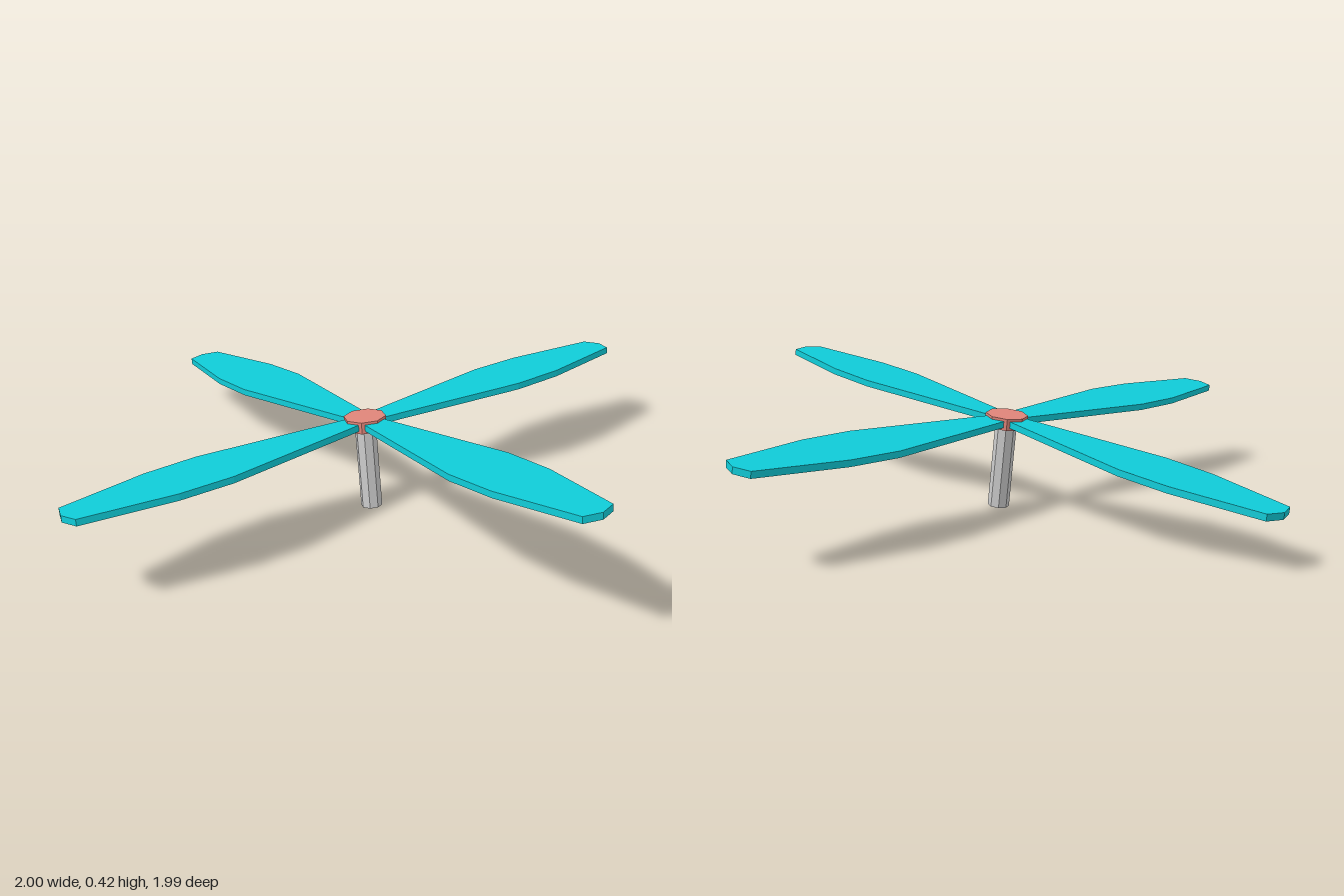
import * as THREE from 'three';

export function createModel() {
  const group = new THREE.Group();
  group.name = 'rotor';

  const material = (color) => new THREE.MeshStandardMaterial({ color, flatShading: true });
  const grey = material(0xcccccc);
  const teal = material(0x10ccd8);
  const coral = material(0xe0857a);

  // The whole rotor leans back around its hub
  const tilted = new THREE.Group();
  tilted.name = 'tiltedRotor';
  tilted.position.set(0, 0.278, -0.002);
  tilted.rotation.x = -0.128;
  group.add(tilted);

  // Shaft, reaching from the ground up into the hub
  const shaftLength = 0.276;
  const shaft = new THREE.Mesh(new THREE.CylinderGeometry(0.033, 0.033, shaftLength, 8), grey);
  shaft.name = 'shaft';
  shaft.position.y = -shaftLength / 2;
  tilted.add(shaft);

  // Hub disc
  const hub = new THREE.Mesh(new THREE.CylinderGeometry(0.065, 0.065, 0.036, 8), coral);
  hub.name = 'hub';
  tilted.add(hub);

  // Blade outline as [distance from hub, half width], mirrored about its axis
  const profile = [[0, 0.029], [0.53, 0.108], [0.7, 0.104], [0.982, 0.054]];
  const outline = [
    ...profile.map(([x, w]) => new THREE.Vector2(x, -w)),
    new THREE.Vector2(1, 0),
    ...profile.map(([x, w]) => new THREE.Vector2(x, w)).reverse(),
  ];
  const thickness = 0.02;
  const bladeGeometry = new THREE.ExtrudeGeometry(new THREE.Shape(outline), {
    depth: thickness,
    bevelEnabled: false,
  });
  bladeGeometry.translate(0, 0, -thickness / 2).rotateX(-Math.PI / 2);

  // Four blades around the hub
  for (let i = 0; i < 4; i++) {
    const blade = new THREE.Mesh(bladeGeometry, teal);
    blade.name = `blade${i + 1}`;
    blade.rotation.y = (i * Math.PI) / 2;
    tilted.add(blade);
  }

  return group;
}
